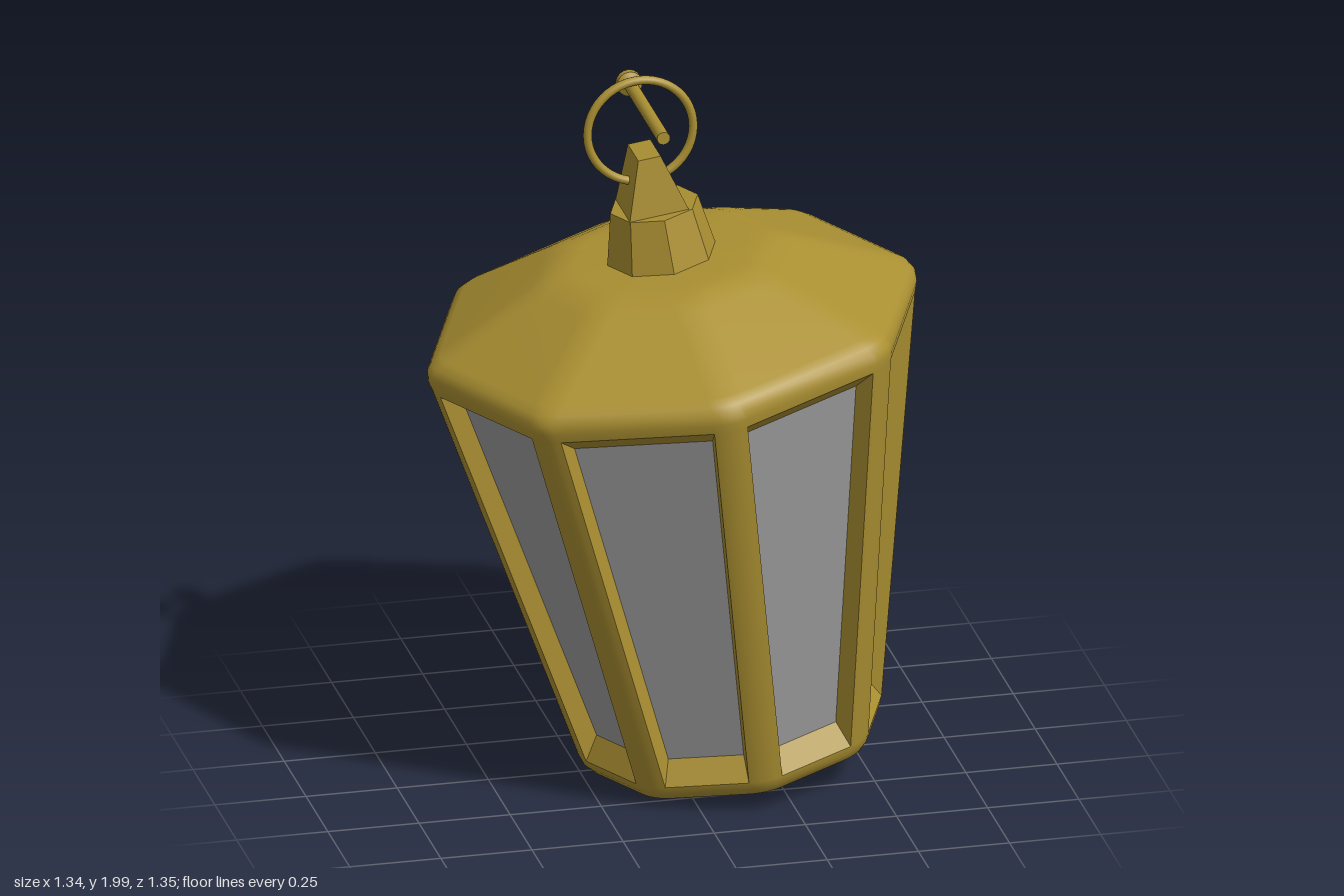
import * as THREE from 'three';

const brass = new THREE.MeshStandardMaterial({ color: 0xab9032 });
brass.name = 'brass';
const glass = new THREE.MeshStandardMaterial({ color: 0x9c9c9c });
glass.name = 'grey glass';

const SIDES = 8, ARC = 6, STEP = Math.PI * 2 / SIDES;
const COUNT = SIDES * (ARC + 1);

// Octagon outline with rounded corners, corner 0 on +x
function ring(R, h) {
  const rho = Math.min(0.12, R * 0.7);
  const d = R - rho / Math.cos(STEP / 2);
  const pts = [];
  for (let k = 0; k < SIDES; k++) {
    for (let i = 0; i <= ARC; i++) {
      const a = k * STEP, b = a + (i / ARC - 0.5) * STEP;
      pts.push(new THREE.Vector3(
        d * Math.cos(a) + rho * Math.cos(b), h, d * Math.sin(a) + rho * Math.sin(b)));
    }
  }
  return pts;
}

function fromPoints(points, index) {
  const g = new THREE.BufferGeometry().setFromPoints(points);
  if (index) g.setIndex(index);
  g.computeVertexNormals();
  return g;
}

function add(parent, name, geometry, material) {
  const m = new THREE.Mesh(geometry, material);
  m.name = name;
  parent.add(m);
  return m;
}

// Frustum with flat faces; top and bottom half sizes differ
function taperedBlock(x0, z0, x1, z1, h) {
  const g = new THREE.BoxGeometry(2, h, 2);
  const p = g.attributes.position;
  for (let i = 0; i < p.count; i++) {
    const top = p.getY(i) > 0;
    p.setX(i, p.getX(i) * (top ? x1 : x0));
    p.setZ(i, p.getZ(i) * (top ? z1 : z0));
  }
  g.computeVertexNormals();
  return g;
}

function createLantern() {
  const lantern = new THREE.Group();
  lantern.name = 'lantern';

  // Shell profile [radius, height]; windows sit in the long band
  const profile = [
    [0, 0], [0.34, 0], [0.375, 0.002], [0.403, 0.012], [0.42, 0.032], [0.428, 0.055],
    [0.676, 1.19], [0.683, 1.215], [0.682, 1.24], [0.668, 1.262], [0.64, 1.28],
    [0.37, 1.41], [0.31, 1.433], [0.25, 1.44], [0, 1.442],
  ];
  const windowBand = 5;
  const rings = profile.map(([R, h]) => ring(R, h));
  const index = [], reveal = [], panes = [];

  for (let r = 0; r < rings.length - 1; r++) {
    for (let i = 0; i < COUNT; i++) {
      const j = (i + 1) % COUNT;
      const isFlat = i % (ARC + 1) === ARC;
      if (r === windowBand && isFlat) {
        // Recessed window: sloping frame and pane
        const P = [rings[r][i], rings[r + 1][i], rings[r + 1][j], rings[r][j]];
        const centre = P.reduce((s, p) => s.add(p), new THREE.Vector3()).multiplyScalar(0.25);
        const normal = P[1].clone().sub(P[0]).cross(P[2].clone().sub(P[0])).normalize();
        const Q = P.map(p => p.clone().sub(centre).multiplyScalar(0.9).add(centre)
          .addScaledVector(normal, -0.05));
        for (let e = 0; e < 4; e++) {
          const f = (e + 1) % 4;
          reveal.push(P[e], P[f], Q[f], P[e], Q[f], Q[e]);
        }
        panes.push(Q[0], Q[1], Q[2], Q[0], Q[2], Q[3]);
        continue;
      }
      const a = r * COUNT + i, b = r * COUNT + j, c = b + COUNT, d = a + COUNT;
      index.push(a, d, c, a, c, b);
    }
  }
  add(lantern, 'shell', fromPoints(rings.flat(), index), brass);
  add(lantern, 'windowFrames', fromPoints(reveal), brass);
  add(lantern, 'windowPanes', fromPoints(panes), glass);

  // Cap: octagonal collar and tapered peg
  const collarGeo = new THREE.CylinderGeometry(0.121, 0.151, 0.155, SIDES).toNonIndexed();
  collarGeo.computeVertexNormals();
  const collar = add(lantern, 'collar', collarGeo, brass);
  collar.rotation.y = STEP * 2;
  collar.position.y = 1.51;
  const peg = add(lantern, 'peg', taperedBlock(0.083, 0.083, 0.031, 0.06, 0.165), brass);
  peg.position.set(-0.005, 1.665, 0);
  return lantern;
}

export function createModel() {
  const model = new THREE.Group();
  model.name = 'hangingLantern';

  // The lantern hangs tilted
  const lantern = createLantern();
  lantern.position.set(0.17, 0.054, 0);
  lantern.rotation.z = THREE.MathUtils.degToRad(7.8);
  model.add(lantern);

  // Hanging ring
  const hoop = add(model, 'ring', new THREE.TorusGeometry(0.145, 0.012, 12, 48), brass);
  hoop.position.set(-0.083, 1.843, 0);

  // Nail through the ring, head at the back
  const nail = new THREE.Group();
  nail.name = 'nail';
  nail.position.set(-0.098, 1.955, 0);
  const shaft = add(nail, 'nailShaft', new THREE.CylinderGeometry(0.018, 0.018, 0.39, 16), brass);
  shaft.rotation.x = Math.PI / 2;
  shaft.position.z = 0.135;
  const head = add(nail, 'nailHead', new THREE.CylinderGeometry(0.035, 0.035, 0.018, 16), brass);
  head.rotation.x = Math.PI / 2;
  head.position.z = -0.066;
  const neck = add(nail, 'nailNeck', new THREE.CylinderGeometry(0.018, 0.034, 0.008, 16), brass);
  neck.rotation.x = Math.PI / 2;
  neck.position.z = -0.053;
  model.add(nail);
  return model;
}
